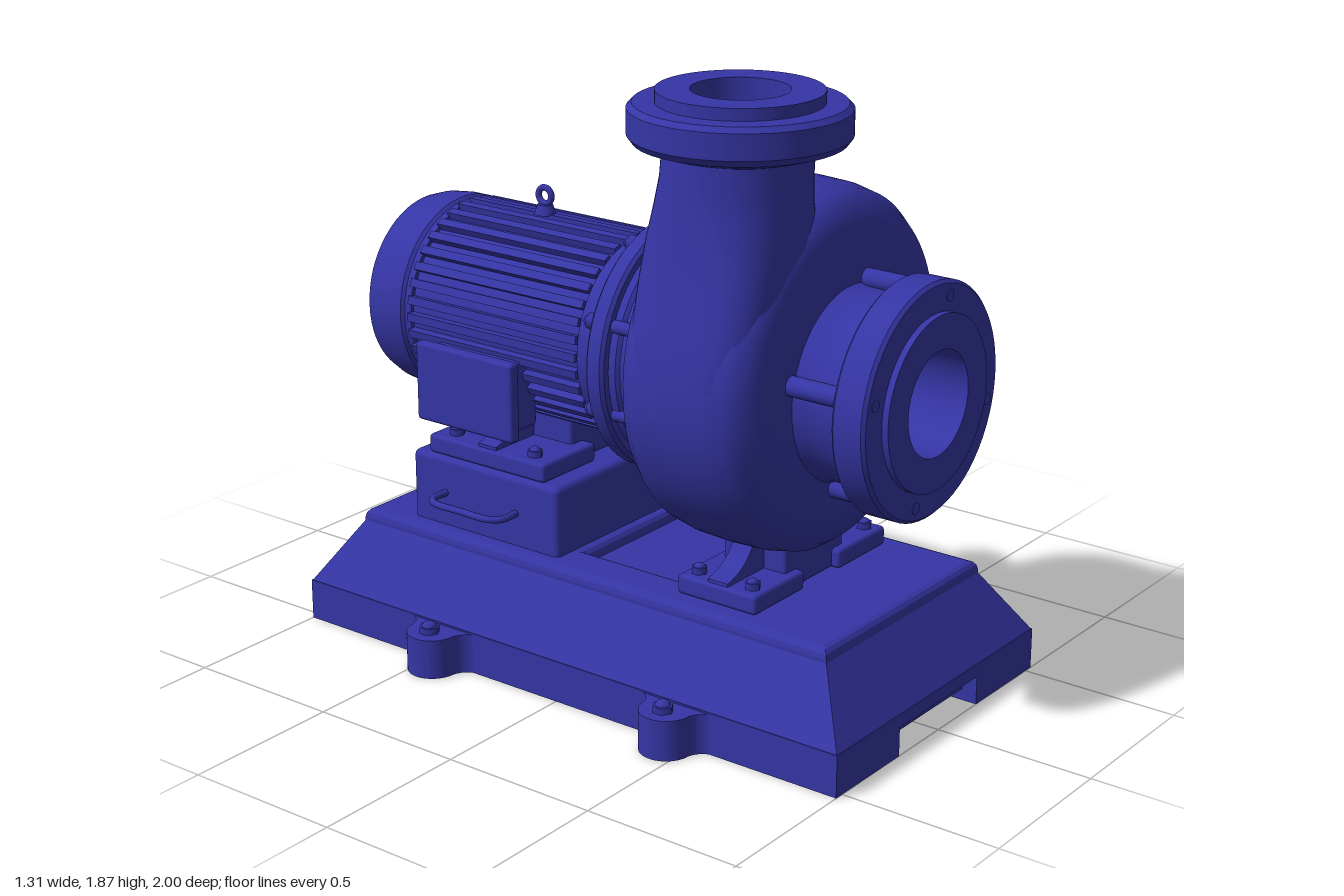
import * as THREE from 'three';
import { toCreasedNormals } from 'three/addons/utils/BufferGeometryUtils.js';
import { RoundedBoxGeometry } from 'three/addons/geometries/RoundedBoxGeometry.js';
import { ConvexGeometry } from 'three/addons/geometries/ConvexGeometry.js';

const paint = new THREE.MeshStandardMaterial({ color: 0x3535a5 });
const AX = -0.01, AY = 1.005; // shaft axis

export function createModel() {
  const model = new THREE.Group();
  const add = (name, geo, x = 0, y = 0, z = 0) => {
    const m = new THREE.Mesh(geo, paint);
    m.name = name;
    m.position.set(x, y, z);
    model.add(m);
    return m;
  };
  const box = (name, w, h, d, x, y, z, r = 0.012) =>
    add(name, new RoundedBoxGeometry(w, h, d, 2, r), x, y, z);
  const turned = (pts, seg = 64) =>
    toCreasedNormals(new THREE.LatheGeometry(pts.map(p => new THREE.Vector2(...p)), seg), 0.6);
  // turned part lying along the shaft, profile as [radius, z]
  const shaftPart = (name, pts, seg) => add(name, turned(pts, seg).rotateX(Math.PI / 2), AX, AY, 0);
  const rod = (name, r, len, x, y, z, sides = 16) =>
    add(name, new THREE.CylinderGeometry(r, r, len, sides).rotateX(Math.PI / 2), x, y, z);
  const upBolt = (name, r, x, y, z) => {
    add(name, new THREE.CylinderGeometry(r, r, 0.03, 6), x, y, z);
    add(name + 'Dome', new THREE.SphereGeometry(r * 0.75, 12, 8).scale(1, 0.8, 1), x, y + 0.012, z);
  };
  const ring = (n, start, r, fn) => {
    for (let i = 0; i < n; i++) {
      const a = start + i * Math.PI * 2 / n;
      fn(AX + r * Math.cos(a), AY + r * Math.sin(a), a);
    }
  };
  const polygon = pts => new THREE.Shape(pts.map(p => new THREE.Vector2(...p)));

  // base plate: grooved underneath, with a deeper notch at each end
  const slab = (notch, z0, z1) => add('basePlate', new THREE.ExtrudeGeometry(polygon(
    [[-0.53, 0], [-0.21, 0], [-0.21, notch], [0.21, notch], [0.21, 0], [0.53, 0], [0.53, 0.13], [-0.53, 0.13]]),
  { depth: z1 - z0, bevelEnabled: false }), 0, 0.005, z0);
  slab(0.035, -0.95, 0.95);
  slab(0.09, 0.95, 1);
  slab(0.09, -1, -0.95);
  const corners = [];
  for (const [x, y, z] of [[0.53, 0.13, 1], [0.405, 0.33, 0.875]])
    for (const sx of [-1, 1]) for (const sz of [-1, 1]) corners.push(new THREE.Vector3(sx * x, y, sz * z));
  add('baseSlopes', new ConvexGeometry(corners));
  const rim = polygon([[-0.405, -0.875], [0.405, -0.875], [0.405, 0.875], [-0.405, 0.875]]);
  rim.holes.push(polygon([[-0.25, -0.25], [-0.25, 0.1], [0.25, 0.1], [0.25, -0.25]]));
  add('baseTop', new THREE.ExtrudeGeometry(rim, {
    depth: 0.01, bevelThickness: 0.03, bevelSize: 0.025, bevelOffset: -0.025, bevelSegments: 3,
  }).rotateX(-Math.PI / 2), 0, 0.33, 0);

  // anchor lugs
  const lug = new THREE.Shape();
  lug.moveTo(0.48, -0.13);
  lug.lineTo(0.53, -0.12);
  lug.quadraticCurveTo(0.54, -0.09, 0.575, -0.08);
  lug.absarc(0.575, 0, 0.08, -Math.PI / 2, Math.PI / 2, false);
  lug.quadraticCurveTo(0.54, 0.09, 0.53, 0.12);
  lug.lineTo(0.48, 0.13);
  const lugGeo = toCreasedNormals(new THREE.ExtrudeGeometry(lug, { depth: 0.125, bevelEnabled: false })
    .rotateX(-Math.PI / 2), 0.6);
  for (const s of [-1, 1]) for (const z of [-0.445, 0.445]) {
    add('anchorLug', lugGeo, 0, 0.005, z).rotation.y = s < 0 ? Math.PI : 0;
    upBolt('anchorBolt', 0.032, s * 0.59, 0.135, z);
  }

  // motor stand with a grab handle on each side
  box('motorStand', 0.7, 0.25, 0.58, 0, 0.465, -0.425, 0.02);
  for (const s of [-1, 1]) {
    const path = new THREE.CatmullRomCurve3([[0.33, -0.3], [0.41, -0.3], [0.437, -0.33], [0.44, -0.44],
      [0.437, -0.55], [0.41, -0.58], [0.33, -0.58]].map(([x, z]) => new THREE.Vector3(s * x, 0.475, z)));
    add('standHandle', new THREE.TubeGeometry(path, 40, 0.011, 10));
  }

  // flared feet: plates, curved gusset and bolts
  const foot = (name, y, z, len, top, inner) => {
    const g = new THREE.Shape();
    g.moveTo(0.05, 0);
    g.lineTo(0.33, 0);
    g.lineTo(0.33, 0.05);
    g.quadraticCurveTo(inner + 0.03, 0.07, inner, top);
    g.lineTo(0.05, top);
    const web = d => toCreasedNormals(new THREE.ExtrudeGeometry(g, { depth: d, bevelEnabled: false })
      .translate(0, 0, -d / 2), 0.6);
    for (const s of [-1, 1]) {
      box(name + 'Plate', 0.25, 0.06, len, s * 0.215, y + 0.03, z);
      add(name + 'Gusset', web(0.07), 0, y + 0.02, z).rotation.y = s < 0 ? Math.PI : 0;
      for (const e of [-1, 1]) upBolt(name + 'Bolt', 0.024, s * 0.29, y + 0.065, z + e * len * 0.34);
    }
    box(name + 'Saddle', 0.3, top, len * 0.8, 0, y + top / 2, z);
  };
  foot('pumpFoot', 0.37, 0.445, 0.28, 0.17, 0.19);
  foot('motorFoot', 0.59, -0.425, 0.46, 0.17, 0.21);

  // volute casing, swelling towards the outlet
  const volute = new THREE.LatheGeometry([[0, 0.205], [0.36, 0.205], [0.44, 0.212], [0.49, 0.235], [0.52, 0.275],
    [0.533, 0.34], [0.537, 0.44], [0.533, 0.54], [0.52, 0.605], [0.49, 0.645], [0.44, 0.667], [0.36, 0.675], [0, 0.675]]
    .map(p => new THREE.Vector2(...p)), 96).rotateX(Math.PI / 2);
  const vp = volute.attributes.position;
  for (let i = 0; i < vp.count; i++) {
    const x = vp.getX(i), y = vp.getY(i);
    const k = 1 + 0.04 * Math.max(0, y / (Math.hypot(x, y) || 1));
    vp.setXY(i, x * k, y * k);
  }
  volute.computeVertexNormals();
  add('voluteCasing', toCreasedNormals(volute, 0.9), AX, 1.015, 0);

  // discharge neck, lofted from a squarish section to a round one: [y, left, right, half depth, roundness]
  const sections = [[0.98, -0.545, -0.1, 0.2, 3.5], [1.1, -0.547, -0.08, 0.215, 3.5], [1.22, -0.528, -0.06, 0.22, 3.4],
    [1.34, -0.502, -0.05, 0.222, 3.2], [1.45, -0.485, -0.045, 0.218, 2.8], [1.55, -0.477, -0.035, 0.206, 2.4],
    [1.63, -0.472, -0.015, 0.202, 2.1], [1.72, -0.468, 0, 0.202, 2]];
  const N = 48, pos = [], idx = [];
  sections.forEach(([y, l, r, hz, e], i) => {
    for (let j = 0; j < N; j++) {
      const t = j / N * Math.PI * 2, c = Math.cos(t), s = Math.sin(t);
      pos.push((l + r) / 2 + (r - l) / 2 * Math.sign(c) * Math.abs(c) ** (2 / e), y,
        0.438 + hz * Math.sign(s) * Math.abs(s) ** (2 / e));
      if (i === sections.length - 1) continue;
      const a = i * N + j, b = i * N + (j + 1) % N;
      idx.push(a, a + N, b, a + N, b + N, b);
    }
  });
  const neck = new THREE.BufferGeometry();
  neck.setAttribute('position', new THREE.Float32BufferAttribute(pos, 3));
  neck.setIndex(idx);
  neck.computeVertexNormals();
  add('dischargeNeck', neck);
  add('dischargeFlange', turned([[0.19, 1.69], [0.24, 1.705], [0.3, 1.725], [0.315, 1.745], [0.315, 1.82], [0.3, 1.835],
    [0.237, 1.835], [0.237, 1.87], [0.14, 1.87], [0.14, 1.5], [0, 1.5]]), -0.233, 0, 0.44);

  // suction neck, flange and bore
  shaftPart('suctionNeck', [[0.31, 0.64], [0.285, 0.69], [0.28, 0.81], [0.3, 0.85]]);
  shaftPart('suctionFlange', [[0.15, 0.825], [0.31, 0.825], [0.31, 0.84], [0.34, 0.84], [0.35, 0.85], [0.35, 0.94],
    [0.34, 0.95], [0.26, 0.95], [0.26, 0.97], [0.157, 0.97], [0.157, 0.76], [0, 0.76]]);
  ring(4, 1.33, 0.305, (x, y) => {
    rod('suctionBolt', 0.018, 0.02, x, y, 0.943);
    rod('suctionStud', 0.03, 0.2, x, y, 0.74);
  });

  // lantern between casing and motor
  shaftPart('lantern', [[0.35, 0.24], [0.35, 0.2], [0.345, 0.11], [0.355, 0.1], [0.355, 0.07]].reverse());
  shaftPart('motorFlange', [[0, 0.01], [0.375, 0.01], [0.385, 0.02], [0.385, 0.065], [0.375, 0.075], [0, 0.075]]);
  ring(8, Math.PI / 8, 0.35, (x, y) => {
    rod('flangeBolt', 0.027, 0.03, x, y, 0, 6);
    add('flangeBoltDome', new THREE.SphereGeometry(0.018, 12, 8), x, y, -0.018);
    rod('lanternStud', 0.02, 0.16, x, y, 0.14);
  });

  // motor: body, cooling fins and fan cover
  shaftPart('motorBody', [[0, -0.8], [0.29, -0.8], [0.29, -0.09], [0.308, -0.08], [0.308, 0.01], [0, 0.01]]);
  const fin = new THREE.BoxGeometry(0.04, 0.026, 0.66);
  ring(36, 0, 0.293, (x, y, a) => { add('coolingFin', fin, x, y, -0.415).rotation.z = a; });
  shaftPart('fanCover', [[0, -0.96], [0.22, -0.96], [0.26, -0.952], [0.29, -0.925], [0.305, -0.88], [0.312, -0.82],
    [0.312, -0.775], [0.303, -0.765], [0.303, -0.74], [0, -0.74]]);
  ring(24, 0, 0.215, (x, y) => rod('fanCoverStud', 0.009, 0.012, x, y, -0.958, 8));

  // terminal box on the right side
  box('terminalBox', 0.14, 0.22, 0.32, -0.31, 0.84, -0.46);
  box('terminalCover', 0.04, 0.25, 0.38, -0.375, 0.84, -0.46);

  // lifting eye
  add('eyeBase', new THREE.CylinderGeometry(0.024, 0.034, 0.03, 20), AX, 1.33, -0.45);
  add('liftingEye', new THREE.TorusGeometry(0.025, 0.01, 10, 24).rotateY(Math.PI / 2), AX, 1.372, -0.45);

  return model;
}
